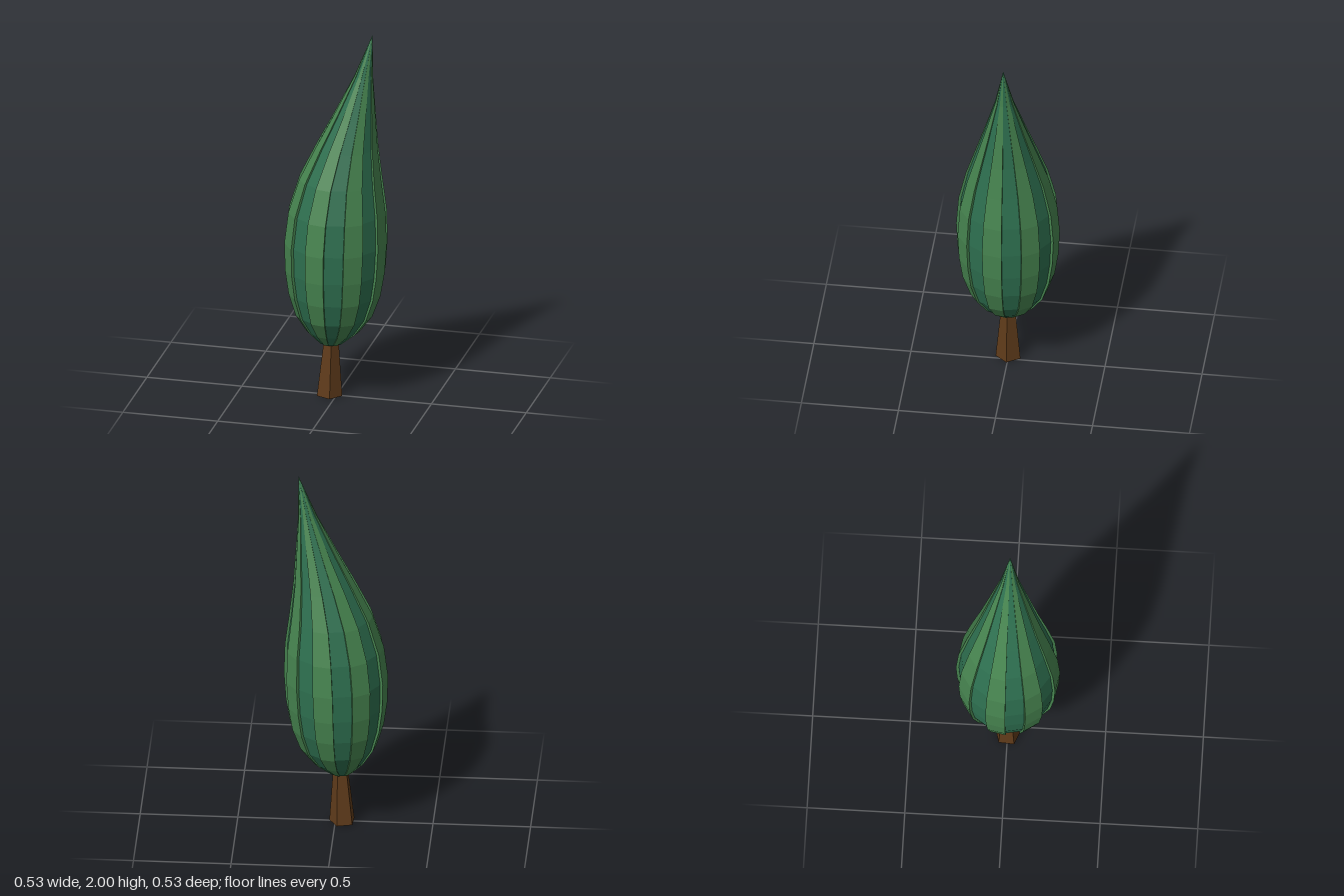
import * as THREE from 'three';

// Crown rings: [height, centre x, outer radius]
const RINGS = [
  [0.285, -0.03, 0.0], [0.29, -0.027, 0.062], [0.36, -0.018, 0.138], [0.45, -0.012, 0.2],
  [0.57, -0.008, 0.24], [0.7, -0.006, 0.26], [0.85, -0.003, 0.267], [1.02, 0.005, 0.254],
  [1.2, 0.022, 0.214], [1.38, 0.056, 0.16], [1.55, 0.095, 0.11], [1.77, 0.143, 0.048], [2, 0.19, 0],
];
const SEGMENTS = 16;
const INSET = 0.945; // radius of the recessed strips relative to the raised ribs

function crownPoint([y, cx, r], segment, scale) {
  const a = (segment / SEGMENTS) * Math.PI * 2;
  return [cx + Math.cos(a) * r * scale, y, Math.sin(a) * r * scale];
}

// Builds vertical strips between pairs of [segment, scale] edges, ordered by angle.
function stripGeometry(strips) {
  const pos = [];
  for (const [e0, e1] of strips) {
    for (let i = 0; i < RINGS.length - 1; i++) {
      const lo = RINGS[i], hi = RINGS[i + 1];
      const a = crownPoint(lo, ...e1), b = crownPoint(lo, ...e0);
      const c = crownPoint(hi, ...e0), d = crownPoint(hi, ...e1);
      if (lo[2] > 0) pos.push(...a, ...b, ...c);
      else pos.push(...b, ...c, ...d);
      if (lo[2] > 0 && hi[2] > 0) pos.push(...a, ...c, ...d);
    }
  }
  const geo = new THREE.BufferGeometry();
  geo.setAttribute('position', new THREE.Float32BufferAttribute(pos, 3));
  geo.computeVertexNormals();
  return geo;
}

function addPart(group, name, geometry, color) {
  const material = new THREE.MeshStandardMaterial({ color, flatShading: true });
  const mesh = new THREE.Mesh(geometry, material);
  mesh.name = name;
  group.add(mesh);
  return mesh;
}

export function createModel() {
  const tree = new THREE.Group();
  tree.name = 'cypressTree';

  // Raised ribs with their side walls alternate with recessed strips
  const ribs = [], recesses = [];
  for (let s = 0; s < SEGMENTS; s += 2) {
    ribs.push([[s, INSET], [s, 1]], [[s, 1], [s + 1, 1]], [[s + 1, 1], [s + 1, INSET]]);
    recesses.push([[s + 1, INSET], [s + 2, INSET]]);
  }
  const crown = new THREE.Group();
  crown.name = 'crown';
  addPart(crown, 'raisedRibs', stripGeometry(ribs), 0x478550);
  addPart(crown, 'recessedStrips', stripGeometry(recesses), 0x2e7050);
  tree.add(crown);

  // Tapered five-sided trunk, leaning slightly with the crown
  const trunk = new THREE.CylinderGeometry(0.038, 0.068, 0.32, 5, 1, false, THREE.MathUtils.degToRad(14));
  trunk.translate(0, 0.16, 0);
  const p = trunk.attributes.position;
  for (let i = 0; i < p.count; i++) p.setX(i, p.getX(i) - 0.037 + p.getY(i) * 0.03);
  addPart(tree, 'trunk', trunk, 0x5f3b1a);

  return tree;
}
